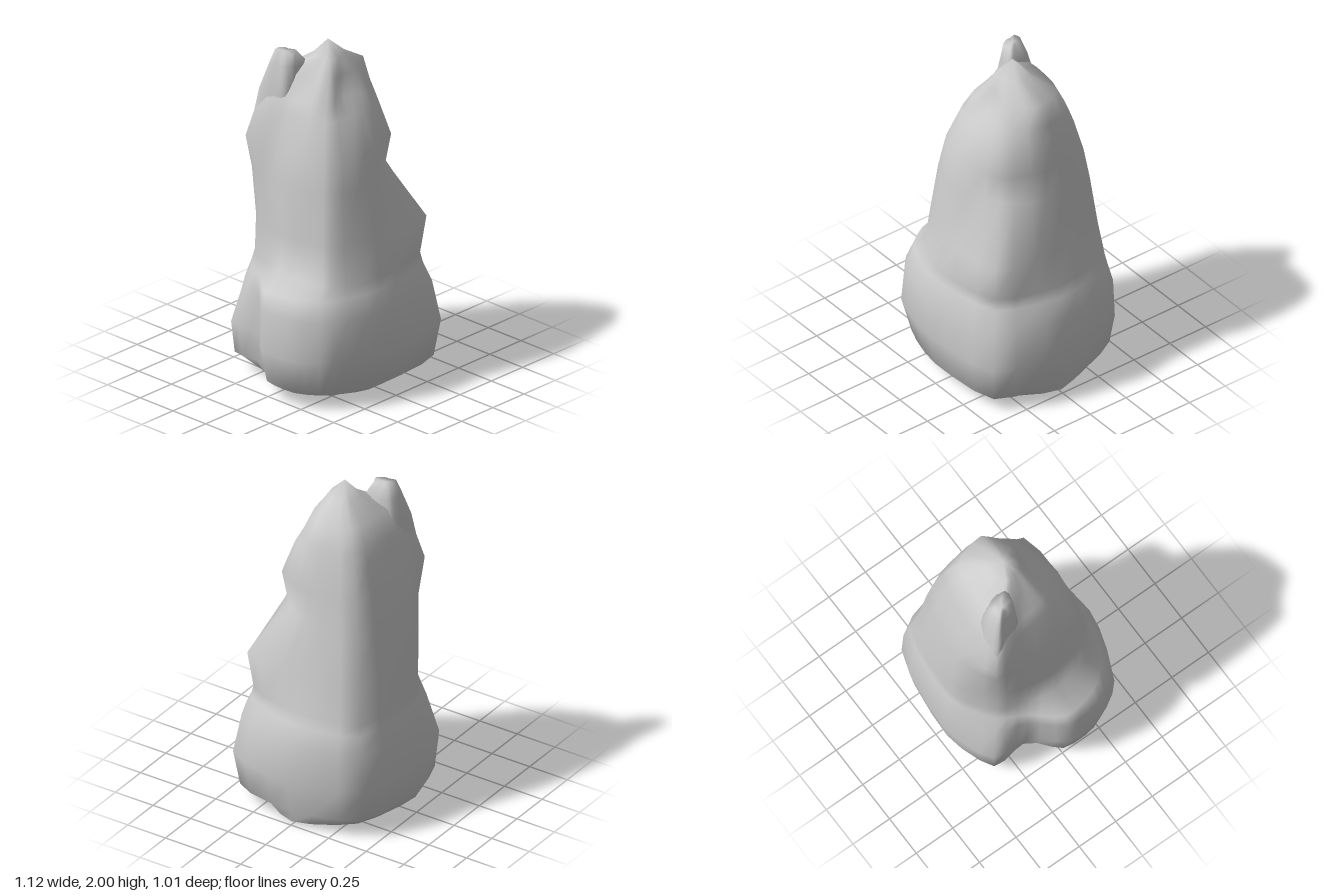
import * as THREE from 'three';

const STEPS = 3; // sides between two neighbouring radii

// Smooth closed outline through radii at the given angles, turning from +x towards +z.
// The lowest outlines dip a little towards the front.
function outline([y, ...radii], angles, cx, cz) {
  const dip = 0.06 * Math.max(0, 1 - y / 0.3);
  const pts = radii.map((r, i) => {
    const a = THREE.MathUtils.degToRad(angles[i]);
    const z = cz + r * Math.sin(a);
    return new THREE.Vector3(cx + r * Math.cos(a), y - dip * z, z);
  });
  const curve = new THREE.CatmullRomCurve3(pts, true, 'catmullrom', 0.35);
  const count = radii.length * STEPS;
  return Array.from({ length: count }, (_, j) => curve.getPoint(j / count));
}

// Skin over a stack of cross-sections, open below and closed by a top point
function loft(name, rows, angles, top, material, cx = 0, cz = 0) {
  const verts = rows.flatMap((row) => outline(row, angles, cx, cz));
  const seg = angles.length * STEPS;
  const index = [];
  for (let i = 0; i < rows.length - 1; i++) {
    for (let j = 0; j < seg; j++) {
      const a = i * seg + j, b = i * seg + ((j + 1) % seg);
      index.push(a, a + seg, b, b, a + seg, b + seg);
    }
  }
  const last = (rows.length - 1) * seg;
  const apex = verts.push(new THREE.Vector3(...top)) - 1;
  for (let j = 0; j < seg; j++) index.push(apex, last + ((j + 1) % seg), last + j);

  const geo = new THREE.BufferGeometry().setFromPoints(verts);
  geo.setIndex(index);
  geo.computeVertexNormals();
  const mesh = new THREE.Mesh(geo, material);
  mesh.name = name;
  return mesh;
}

export function createModel() {
  const group = new THREE.Group();
  group.name = 'seatedAnimal';
  const grey = new THREE.MeshStandardMaterial({ color: 0xcccccc, roughness: 0.8, side: THREE.DoubleSide });

  // Hollow body, head and the tail curled round the right flank: height, then one radius per angle.
  // Extra angles either side of 180 shape the tail.
  const bodyAngles = [0, 45, 98, 135, 157.5, 180, 202.5, 225, 261, 315];
  const body = [
    [0.02, 0.49, 0.42, 0.34, 0.35, 0.37, 0.38, 0.37, 0.40, 0.45, 0.47],
    [0.10, 0.51, 0.57, 0.46, 0.53, 0.55, 0.51, 0.39, 0.53, 0.485, 0.57],
    [0.30, 0.55, 0.61, 0.51, 0.59, 0.59, 0.56, 0.43, 0.55, 0.51, 0.60],
    [0.54, 0.54, 0.56, 0.505, 0.57, 0.58, 0.55, 0.44, 0.48, 0.49, 0.59],
    [0.65, 0.485, 0.51, 0.45, 0.52, 0.54, 0.53, 0.43, 0.44, 0.46, 0.56],
    [0.71, 0.46, 0.495, 0.435, 0.46, 0.40, 0.385, 0.375, 0.42, 0.445, 0.545],
    [0.93, 0.42, 0.53, 0.40, 0.43, 0.38, 0.365, 0.37, 0.41, 0.45, 0.505],
    [1.24, 0.35, 0.30, 0.335, 0.385, 0.36, 0.35, 0.365, 0.435, 0.415, 0.46],
    [1.43, 0.345, 0.335, 0.305, 0.345, 0.33, 0.32, 0.345, 0.47, 0.38, 0.425],
    [1.62, 0.31, 0.26, 0.21, 0.26, 0.265, 0.265, 0.30, 0.41, 0.325, 0.37],
    [1.70, 0.29, 0.21, 0.12, 0.19, 0.22, 0.23, 0.26, 0.375, 0.30, 0.34],
    [1.82, 0.26, 0.15, 0.09, 0.11, 0.12, 0.13, 0.18, 0.29, 0.24, 0.28],
    [1.91, 0.11, 0.07, 0.06, 0.06, 0.06, 0.06, 0.07, 0.09, 0.11, 0.13],
  ];
  group.add(loft('body', body, bodyAngles, [0.01, 2, -0.03], grey));

  // Ear rising from the back right of the head, bridged to the crown
  const earAngles = [0, 45, 90, 135, 180, 225, 270, 315];
  const ear = [
    [1.42, 0.08, 0.08, 0.08, 0.09, 0.11, 0.20, 0.14, 0.10],
    [1.72, 0.10, 0.12, 0.09, 0.09, 0.08, 0.14, 0.12, 0.12],
    [1.87, 0.09, 0.13, 0.08, 0.06, 0.05, 0.085, 0.075, 0.08],
    [1.945, 0.03, 0.065, 0.07, 0.04, 0.03, 0.055, 0.05, 0.04],
  ];
  group.add(loft('ear', ear, earAngles, [-0.18, 1.94, -0.18], grey, -0.18, -0.18));

  return group;
}
